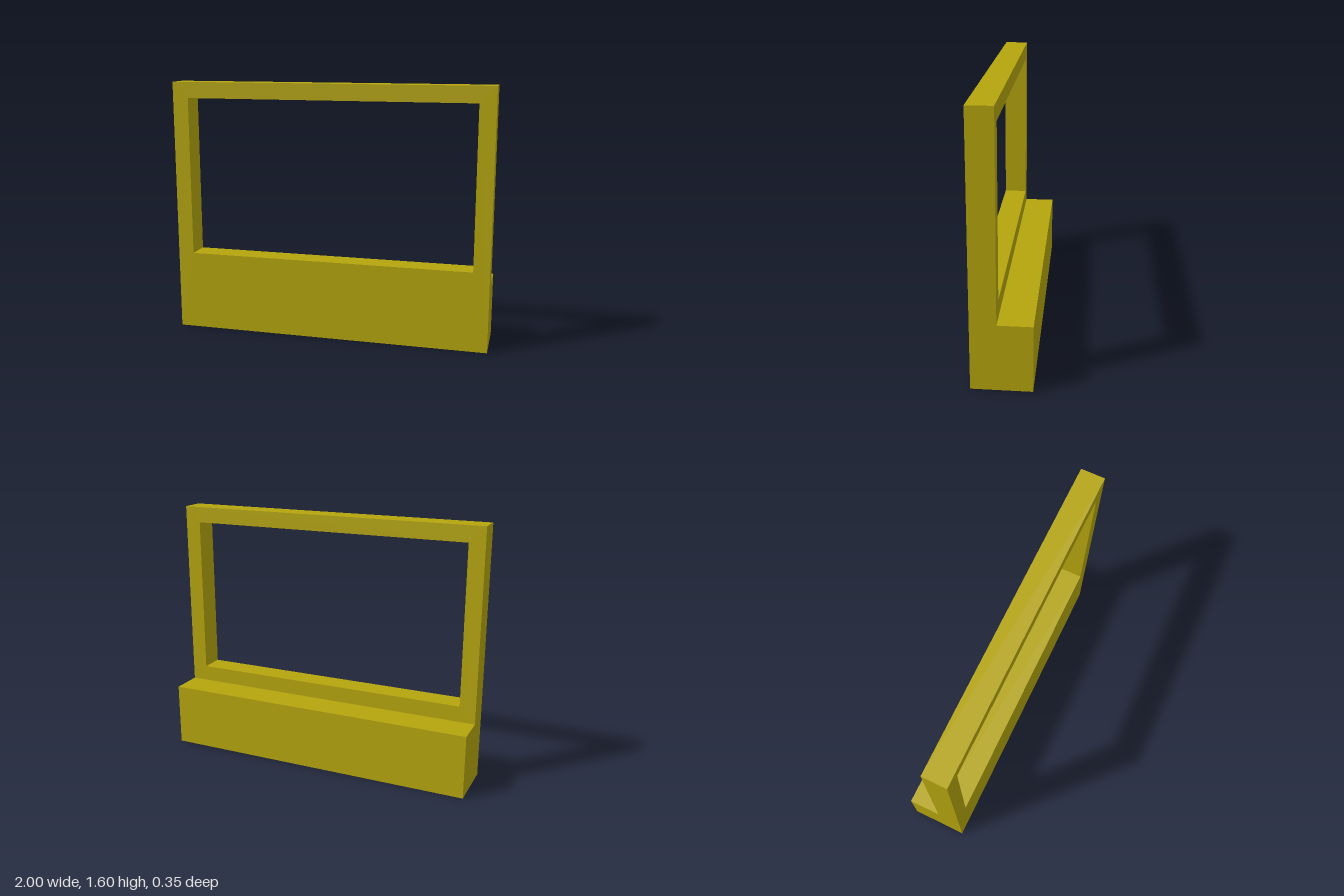
import * as THREE from 'three';

const WIDTH = 2, HEIGHT = 1.6, BACK = -0.175, STEP = 0.025, FRONT = 0.175;

function rectangle(path, x0, y0, x1, y1) {
  path.moveTo(x0, y0);
  path.lineTo(x1, y0);
  path.lineTo(x1, y1);
  path.lineTo(x0, y1);
  path.closePath();
  return path;
}

export function createModel() {
  const group = new THREE.Group();
  group.name = 'framedPanel';
  const material = new THREE.MeshStandardMaterial({ color: 0xb5a50e });

  // Upright panel with a rectangular window opening
  const outline = rectangle(new THREE.Shape(), -WIDTH / 2, 0, WIDTH / 2, HEIGHT);
  outline.holes.push(rectangle(new THREE.Path(), -0.9, 0.5, 0.9, 1.5));
  const frame = new THREE.Mesh(
    new THREE.ExtrudeGeometry(outline, { depth: FRONT - STEP, bevelEnabled: false }),
    material
  );
  frame.name = 'windowFrame';
  frame.position.z = STEP;
  group.add(frame);

  // Low block behind the panel
  const baseHeight = 0.4;
  const base = new THREE.Mesh(new THREE.BoxGeometry(WIDTH, baseHeight, STEP - BACK), material);
  base.name = 'rearBase';
  base.position.set(0, baseHeight / 2, (STEP + BACK) / 2);
  group.add(base);

  return group;
}
